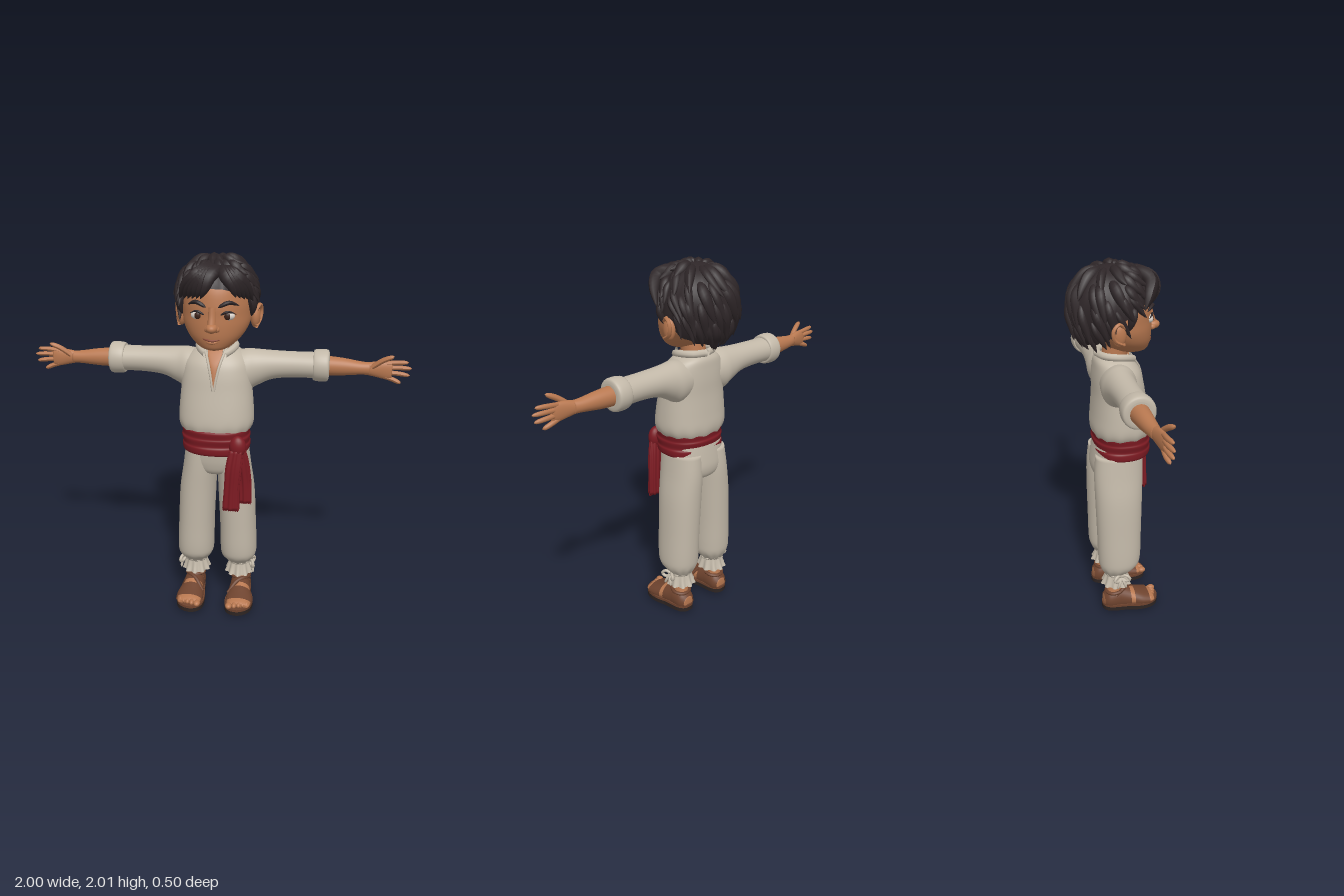
import * as THREE from 'three';

const mat = (name, color, side = THREE.DoubleSide) => {
  const m = new THREE.MeshStandardMaterial({ color, side });
  m.name = name;
  return m;
};

// Smooth skin through elliptical sections [t, c1, c2, r1, r2] along an axis.
// y axis: x and z; x axis: y and z; z axis: x and y. p > 2 squares the ring.
function loft(axis, rows, { p = 2, fold = () => 1, open = false, seg = 36, steps = 5 } = {}) {
  const rings = [], pos = [], idx = [];
  const at = i => rows[Math.max(0, Math.min(rows.length - 1, i))];
  for (let i = 0; i < rows.length - 1; i++)
    for (let s = 0; s < steps; s++) {
      const u = s / steps;
      rings.push(rows[i].map((b, k) => {
        const a = at(i - 1)[k], c = at(i + 1)[k], d = at(i + 2)[k];
        return b + 0.5 * u * (c - a + u * (2 * a - 5 * b + 4 * c - d + u * (3 * (b - c) + d - a)));
      }));
    }
  rings.push(rows[rows.length - 1]);
  const put = (t, u, v) => pos.push(...(axis === 'y' ? [u, t, v] : axis === 'x' ? [t, u, v] : [u, v, t]));
  const pw = v => Math.sign(v) * Math.pow(Math.abs(v), 2 / p);
  rings.forEach(([t, c1, c2, r1, r2], i) => {
    for (let j = 0; j < seg; j++) {
      const a = j / seg * Math.PI * 2, f = fold(a, i / (rings.length - 1));
      const [m, n] = axis === 'y' ? [Math.sin(a), Math.cos(a)] : [Math.cos(a), Math.sin(a)];
      put(t, c1 + r1 * f * pw(m), c2 + r2 * f * pw(n));
    }
  });
  for (let i = 0; i < rings.length - 1; i++)
    for (let j = 0; j < seg; j++) {
      const a = i * seg + j, b = i * seg + (j + 1) % seg;
      idx.push(a, b, b + seg, a, b + seg, a + seg);
    }
  if (!open) {
    const n = rings.length * seg, l = n - seg;
    for (const r of [rings[0], rings[rings.length - 1]]) put(r[0], r[1], r[2]);
    for (let j = 0; j < seg; j++) {
      const k = (j + 1) % seg;
      idx.push(n, k, j, n + 1, l + j, l + k);
    }
  }
  const g = new THREE.BufferGeometry();
  g.setAttribute('position', new THREE.Float32BufferAttribute(pos, 3));
  g.setIndex(idx);
  g.computeVertexNormals();
  return g;
}

const pointed = t => Math.pow(Math.max(0, Math.sin(Math.PI * Math.pow(t, 0.7))), 0.7);
const rounded = t => Math.sqrt(Math.max(0, 1 - Math.pow(t, 7)));

// Tube along points whose radius follows a profile
function strand(points, r, profile = pointed, ts = 14, rs = 8) {
  const curve = new THREE.CatmullRomCurve3(points.map(q => new THREE.Vector3(...q)));
  const g = new THREE.TubeGeometry(curve, ts, r, rs), P = g.attributes.position, v = new THREE.Vector3();
  for (let i = 0; i < P.count; i++) {
    const t = Math.floor(i / (rs + 1)) / ts, c = curve.getPointAt(t);
    v.fromBufferAttribute(P, i).sub(c).multiplyScalar(Math.max(0.02, profile(t))).add(c);
    P.setXYZ(i, v.x, v.y, v.z);
  }
  g.computeVertexNormals();
  return g;
}

const ball = (x, y, z, a, b, c) => new THREE.SphereGeometry(1, 24, 16).scale(a, b, c).translate(x, y, z);

function mirrored(geo) {
  const g = geo.clone().scale(-1, 1, 1), ix = g.index.array;
  for (let i = 0; i < ix.length; i += 3) [ix[i], ix[i + 1]] = [ix[i + 1], ix[i]];
  g.computeVertexNormals();
  return g;
}

export function createModel() {
  const root = new THREE.Group();
  const skin = mat('skin', 0xb87850), cloth = mat('linen', 0xc2b8a8), hair = mat('hair', 0x2e2628);
  const red = mat('sash red', 0x7c1a22), leather = mat('leather', 0x6e432e), sole = mat('sole', 0x2d2422);
  const white = mat('eye white', 0xd8d0c8), iris = mat('iris', 0x3a2118), lip = mat('lip', 0x8a4a38);
  const add = (name, geo, m) => {
    const mesh = new THREE.Mesh(geo, m);
    mesh.name = name;
    root.add(mesh);
  };
  const pair = (name, geo, m) => { add(name + 'Left', geo, m); add(name + 'Right', mirrored(geo), m); };

  // Head, neck and face
  add('head', loft('y', [[1.522, 0, 0.105, 0.03, 0.04], [1.535, 0, 0.095, 0.072, 0.08], [1.56, 0, 0.075, 0.108, 0.112],
    [1.6, 0, 0.045, 0.146, 0.15], [1.65, 0, 0.015, 0.171, 0.182], [1.7, 0, 0, 0.177, 0.195], [1.76, 0, -0.005, 0.176, 0.197],
    [1.84, 0, -0.01, 0.16, 0.182], [1.92, 0, -0.01, 0.11, 0.12], [1.95, 0, -0.01, 0.03, 0.03]], { seg: 48 }), skin);
  add('neck', loft('y', [[1.42, 0, 0, 0.075, 0.07], [1.5, 0, 0.005, 0.064, 0.067], [1.59, 0, 0.025, 0.065, 0.075]]), skin);
  add('noseTip', ball(0, 1.652, 0.212, 0.03, 0.024, 0.037), skin);
  add('noseBridge', strand([[0, 1.75, 0.185], [0, 1.7, 0.197], [0, 1.655, 0.215]], 0.02, () => 1), skin);
  pair('nostril', ball(0.023, 1.645, 0.2, 0.016, 0.015, 0.02), skin);
  pair('ear', ball(0.193, 1.67, -0.02, 0.026, 0.06, 0.037).rotateY(0), skin);
  pair('earRim', strand([[0.2, 1.62, 0.005], [0.216, 1.65, -0.045], [0.222, 1.7, -0.055], [0.215, 1.73, -0.025], [0.2, 1.705, 0.008]], 0.01, () => 1), skin);
  pair('eye', ball(0.076, 1.708, 0.168, 0.034, 0.022, 0.019), white);
  pair('iris', ball(0.074, 1.708, 0.182, 0.016, 0.018, 0.009), iris);
  pair('lash', strand([[0.038, 1.712, 0.188], [0.075, 1.731, 0.186], [0.116, 1.715, 0.158]], 0.006), hair);
  pair('brow', strand([[0.03, 1.753, 0.196], [0.08, 1.775, 0.182], [0.13, 1.755, 0.142]], 0.011), hair);
  add('mouth', strand([[-0.055, 1.594, 0.179], [0, 1.585, 0.197], [0.055, 1.594, 0.179]], 0.006), lip);
  add('lowerLip', strand([[-0.035, 1.577, 0.18], [0, 1.574, 0.192], [0.035, 1.577, 0.18]], 0.009), skin);

  // Hair cap: rounded shell with a hairline low at the nape and high at the brow
  const scalp = (a, th, s = 1) => {
    const k = th > Math.PI / 2 ? Math.pow(Math.sin(th), 0.6) : Math.sin(th);
    return [Math.sin(a) * k * 0.202 * s, 1.765 + Math.cos(th) * 0.208 * s, -0.015 + Math.cos(a) * k * 0.212 * s];
  };
  const edge = a => {
    const c = Math.cos(a);
    return c > 0 ? 1.75 - 0.55 * c : 1.75 + 0.85 * Math.sqrt(-c);
  };
  const U = 72, V = 20, hp = [], hi = [];
  for (let i = 0; i <= V; i++)
    for (let j = 0; j < U; j++) {
      const a = j / U * Math.PI * 2, t = i / V;
      hp.push(...scalp(a, Math.max(0.001, t * edge(a)), 1 + 0.02 * t * Math.sin(a * 15 + 4 * t)));
      if (i < V) {
        const n = i * U + j, m = i * U + (j + 1) % U;
        hi.push(n, n + U, m + U, n, m + U, m);
      }
    }
  const cap = new THREE.BufferGeometry();
  cap.setAttribute('position', new THREE.Float32BufferAttribute(hp, 3));
  cap.setIndex(hi);
  cap.computeVertexNormals();
  add('hairCap', cap, hair);

  // Layered locks swirling from the crown, with flicked tips
  let seed = 7;
  const rnd = () => (seed = (seed * 16807) % 2147483647) / 2147483647;
  [[0.1, 0.5, 11, 0.026], [0.32, 0.72, 17, 0.025], [0.52, 0.9, 21, 0.022], [0.7, 1.04, 26, 0.017]].forEach(([t0, t1, n, r], layer) => {
    for (let i = 0; i < n; i++) {
      const a = (i + rnd() * 0.6) / n * Math.PI * 2, turn = 0.15 + rnd() * 0.3, e = edge(a);
      if (layer > 1 && Math.cos(a) > 0.55) continue;
      const q = [0, 0.35, 0.7, 1].map((u, k) =>
        scalp(a + turn * u, (t0 + (t1 - t0) * u) * e, [0.97, 1, 1.01, 1.06 + rnd() * 0.07][k]));
      add('lock', strand(q, r * (0.8 + rnd() * 0.4)), hair);
    }
  });

  // Fringe sweeping to both sides of the parting
  for (let i = 0; i < 6; i++) {
    const k = i / 5;
    add('fringe', strand([[0.04 - 0.05 * k, 1.93 + 0.02 * k, 0.1], [-0.01 - 0.07 * k, 1.905, 0.19 - 0.02 * k],
      [-0.03 - 0.11 * k, 1.85, 0.218 - 0.07 * k], [-0.055 - 0.12 * k, 1.795 - 0.02 * k, 0.205 - 0.09 * k]], 0.034), hair);
  }
  for (let i = 0; i < 5; i++) {
    const k = i / 4;
    add('fringe', strand([[0.03 + 0.03 * k, 1.935, 0.1], [0.06 + 0.05 * k, 1.905, 0.175 - 0.02 * k],
      [0.095 + 0.06 * k, 1.855, 0.19 - 0.06 * k], [0.115 + 0.075 * k, 1.8 - 0.035 * k, 0.175 - 0.1 * k]], 0.032), hair);
  }
  pair('sideburn', strand([[0.17, 1.8, 0.06], [0.185, 1.74, 0.05], [0.178, 1.68, 0.035]], 0.024), hair);

  // Shirt body, bloused above the sash
  add('shirt', loft('y', [[1.06, 0, 0.037, 0.168, 0.142], [1.09, 0, 0.035, 0.19, 0.153], [1.13, 0, 0.035, 0.2, 0.158],
    [1.2, 0, 0.033, 0.197, 0.151], [1.3, 0, 0.027, 0.188, 0.138], [1.38, 0, 0.02, 0.182, 0.13], [1.44, 0, 0.012, 0.17, 0.118],
    [1.485, 0, -0.002, 0.135, 0.098], [1.51, 0, -0.005, 0.085, 0.078]],
  { p: 2.3, seg: 72, fold: (a, t) => 1 + 0.018 * Math.max(0, 1 - t * 3.5) * Math.sin(a * 13) }), cloth);
  add('neckOpening', loft('y', [[1.32, 0, 0.162, 0.002, 0.004], [1.38, 0, 0.15, 0.01, 0.005],
    [1.44, 0, 0.131, 0.022, 0.005], [1.485, 0, 0.099, 0.036, 0.005], [1.51, 0, 0.076, 0.04, 0.005]]), skin);
  pair('neckPlacket', strand([[0.002, 1.31, 0.163], [0.014, 1.38, 0.15], [0.028, 1.44, 0.131], [0.045, 1.49, 0.098], [0.058, 1.525, 0.075]], 0.007, () => 1), cloth);
  pair('collar', strand([[0.047, 1.49, 0.095], [0.082, 1.507, 0.055], [0.096, 1.518, 0], [0.07, 1.522, -0.06], [0, 1.522, -0.088]], 0.019, () => 1), cloth);

  // Sleeves, rolled cuffs and arms
  pair('sleeve', loft('x', [[0.06, 1.39, 0, 0.09, 0.09], [0.15, 1.385, -0.008, 0.113, 0.095], [0.21, 1.399, -0.015, 0.097, 0.083],
    [0.29, 1.415, -0.018, 0.076, 0.074], [0.4, 1.42, -0.02, 0.068, 0.07], [0.54, 1.42, -0.023, 0.068, 0.075]]), cloth);
  pair('cuff', loft('x', [[0.5, 1.42, -0.024, 0.068, 0.068], [0.505, 1.42, -0.024, 0.08, 0.079], [0.54, 1.42, -0.024, 0.085, 0.084],
    [0.575, 1.42, -0.024, 0.081, 0.08], [0.583, 1.42, -0.024, 0.058, 0.058]]), cloth);
  pair('forearm', loft('x', [[0.55, 1.42, -0.025, 0.052, 0.051], [0.65, 1.418, -0.022, 0.046, 0.043],
    [0.74, 1.416, -0.017, 0.035, 0.034], [0.79, 1.415, -0.012, 0.033, 0.026]]), skin);
  pair('palm', loft('x', [[0.775, 1.415, -0.013, 0.032, 0.026], [0.82, 1.415, -0.01, 0.041, 0.022],
    [0.87, 1.412, -0.006, 0.047, 0.018], [0.9, 1.41, -0.004, 0.04, 0.012]]), skin);
  [[1.447, 0.982, 1.458], [1.424, 1, 1.427], [1.4, 0.992, 1.39], [1.378, 0.95, 1.347]].forEach(([y, x1, y1]) =>
    pair('finger', strand([[0.865, y, -0.006], [(0.865 + x1) / 2, (y + y1) / 2 + 0.002, -0.008], [x1, y1, 0]], 0.0125, rounded), skin));
  pair('thumb', strand([[0.8, 1.428, 0], [0.85, 1.468, 0.015], [0.905, 1.497, 0.03]], 0.0145, rounded), skin);

  // Trousers with gathered ankles
  add('hips', loft('y', [[0.8, 0, 0.005, 0.03, 0.06], [0.83, 0, 0.005, 0.12, 0.115], [0.88, 0, 0.007, 0.173, 0.134],
    [0.95, 0, 0.015, 0.172, 0.137], [1.06, 0, 0.03, 0.165, 0.135]], { p: 2.3, seg: 48 }), cloth);
  pair('trouserLeg', loft('y', [[0.225, 0.125, -0.015, 0.055, 0.06], [0.25, 0.125, -0.012, 0.075, 0.08], [0.29, 0.124, 0, 0.098, 0.11],
    [0.35, 0.123, 0.004, 0.103, 0.12], [0.5, 0.118, 0.004, 0.101, 0.124], [0.7, 0.108, 0.004, 0.1, 0.13],
    [0.85, 0.094, 0.006, 0.092, 0.134], [0.97, 0.085, 0.012, 0.085, 0.13]],
  { seg: 60, p: 2.15, fold: (a, t) => 1 + 0.05 * Math.max(0, 1 - t * 3.2) * Math.cos(a * 11) }), cloth);
  pair('ankleRuffle', loft('y', [[0.16, 0.126, -0.014, 0.077, 0.084], [0.195, 0.126, -0.014, 0.066, 0.07], [0.235, 0.126, -0.014, 0.055, 0.06], [0.25, 0.126, -0.014, 0.062, 0.066]],
    { open: true, seg: 72, fold: (a, t) => 1 + 0.1 * (1 - t) * Math.cos(a * 10) }), cloth);
  pair('ankleTie', new THREE.TorusGeometry(0.06, 0.008, 8, 28).rotateX(Math.PI / 2).translate(0.126, 0.232, -0.014), cloth);
  for (const s of [-1, 1]) {
    pair('bowLoop', strand([[0.188, 0.23, 0], [0.205, 0.245, 0.025 * s], [0.214, 0.222, 0.045 * s], [0.203, 0.208, 0.022 * s], [0.19, 0.225, 0]], 0.009, () => 1), cloth);
    pair('bowTail', strand([[0.19, 0.228, 0], [0.207, 0.2, 0.012 * s], [0.212, 0.165, 0.025 * s]], 0.008, rounded), cloth);
  }

  // Sash wrap, knot and hanging ends
  add('sash', loft('y', [[0.955, 0, 0.038, 0.166, 0.142], [0.965, 0, 0.04, 0.18, 0.152], [0.995, 0, 0.04, 0.183, 0.155], [1.01, 0, 0.04, 0.178, 0.15],
    [1.04, 0, 0.04, 0.184, 0.156], [1.055, 0, 0.04, 0.18, 0.151], [1.085, 0, 0.04, 0.183, 0.154], [1.097, 0, 0.04, 0.168, 0.142]],
  { p: 2.3, seg: 60, fold: (a, t) => 1 + 0.008 * Math.sin(a * 3 + t * 9) }), red);
  add('sashKnot', ball(0.13, 1.015, 0.172, 0.045, 0.06, 0.035), red);
  const pleat = a => 1 + 0.13 * Math.cos(a * 7);
  const tails = [
    [[0.665, 0.1, 0.2, 0.043, 0.027], [0.78, 0.103, 0.198, 0.038, 0.023], [0.9, 0.112, 0.195, 0.04, 0.023], [1.0, 0.125, 0.185, 0.034, 0.02]],
    [[0.69, 0.172, 0.15, 0.032, 0.026], [0.8, 0.168, 0.15, 0.033, 0.023], [0.92, 0.155, 0.16, 0.033, 0.024], [1.0, 0.14, 0.17, 0.03, 0.02]]];
  for (const rows of tails) {
    add('sashTail', loft('y', rows, { fold: pleat, seg: 56 }), red);
    const [y, x, z, w] = rows[0];
    for (let i = -3; i <= 3; i++)
      add('sashFringe', strand([[x + i * w * 0.27, y + 0.015, z], [x + i * w * 0.29, y - 0.016, z + 0.004]], 0.008, rounded, 4, 6), red);
  }

  // Feet in strapped sandals
  pair('ankle', loft('y', [[0.05, 0.136, -0.035, 0.044, 0.05], [0.11, 0.134, -0.025, 0.041, 0.046], [0.17, 0.13, -0.016, 0.039, 0.043], [0.25, 0.128, -0.014, 0.044, 0.046]]), skin);
  const foot = [[-0.09, 0.135, 0.05, 0.03, 0.03], [-0.06, 0.136, 0.055, 0.047, 0.055], [0, 0.137, 0.06, 0.05, 0.07],
    [0.06, 0.14, 0.053, 0.058, 0.056], [0.13, 0.143, 0.045, 0.068, 0.037], [0.18, 0.143, 0.042, 0.066, 0.026], [0.2, 0.143, 0.04, 0.055, 0.018]];
  pair('foot', loft('z', foot), skin);
  [0.092, 0.122, 0.147, 0.17, 0.191].forEach((x, i) =>
    pair('toe', ball(x, 0.047, 0.207 - i * 0.009, i ? 0.014 : 0.019, 0.016, 0.024), skin));
  const over = (a, b, d) => loft('z', foot.slice(a, b).map(([z, x, y, w, h]) => [z, x, y, w + d, h + d]), { open: true });
  pair('heelCup', over(0, 3, 0.009), leather);
  pair('instepStrap', over(2, 4, 0.008), leather);
  pair('toeStrap', loft('z', [[0.085, 0.141, 0.05, 0.069, 0.057], [0.125, 0.143, 0.046, 0.076, 0.047], [0.17, 0.143, 0.043, 0.076, 0.036]], { open: true }), leather);
  pair('ankleStrap', new THREE.TorusGeometry(0.05, 0.01, 8, 28).rotateX(Math.PI / 2 - 0.15).translate(0.135, 0.115, -0.025), leather);
  pair('crossStrap', strand([[0.075, 0.06, 0.1], [0.12, 0.115, 0.055], [0.165, 0.125, 0.02], [0.185, 0.1, -0.03]], 0.011, () => 1), leather);

  // Layered soles
  const outline = new THREE.Shape();
  outline.moveTo(0.135, 0.1);
  outline.bezierCurveTo(0.205, 0.1, 0.195, 0.02, 0.205, -0.04);
  outline.bezierCurveTo(0.235, -0.13, 0.225, -0.215, 0.14, -0.232);
  outline.bezierCurveTo(0.05, -0.235, 0.05, -0.14, 0.072, -0.04);
  outline.bezierCurveTo(0.08, 0.02, 0.07, 0.1, 0.135, 0.1);
  const slab = (y, h) => {
    const g = new THREE.ExtrudeGeometry(outline, { depth: h, bevelEnabled: false, curveSegments: 12 }).rotateX(-Math.PI / 2).translate(0, y, 0);
    g.scale(1, 1, -1).scale(1, 1, -1);
    g.setIndex([...Array(g.attributes.position.count).keys()]);
    return g;
  };
  pair('outsole', slab(0, 0.024), sole);
  pair('footbed', slab(0.024, 0.014), leather);

  return root;
}
